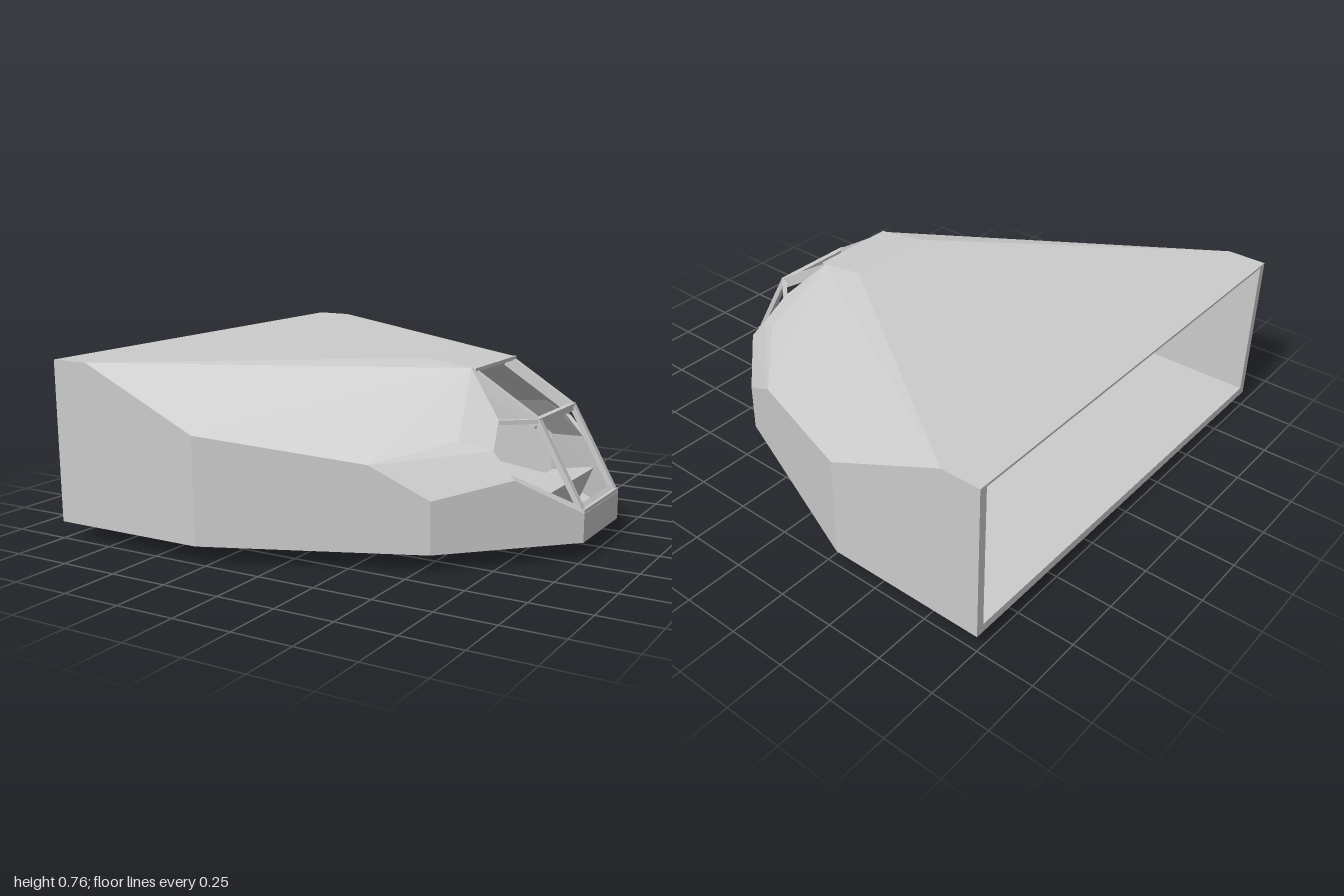
import * as THREE from 'three';

const material = new THREE.MeshStandardMaterial({ color: 0xcccccc, flatShading: true, side: THREE.DoubleSide });

// Flat-faced mesh from polygons of the +z half, mirrored to the -z half
function mirroredPanels(name, polygons) {
  const positions = [];
  for (const poly of polygons) {
    for (let i = 1; i < poly.length - 1; i++) {
      const tri = [poly[0], poly[i], poly[i + 1]];
      for (const p of tri) positions.push(...p);
      for (const p of tri.reverse()) positions.push(...mirror(p));
    }
  }
  const geometry = new THREE.BufferGeometry();
  geometry.setAttribute('position', new THREE.Float32BufferAttribute(positions, 3));
  geometry.computeVertexNormals();
  const mesh = new THREE.Mesh(geometry, material);
  mesh.name = name;
  return mesh;
}

const mid = (p) => [p[0], p[1], 0];
const mirror = (p) => [p[0], p[1], -p[2]];
// Matching point on the inner skin: thick floor and walls, thin roof
const inner = (p) => [-1 + (p[0] + 1) * 0.985, 0.11 + (p[1] - 0.072) * 0.93, p[2] * 0.965];

// Quads closing the wall thickness along an open edge
const wallEdge = (path) =>
  path.slice(1).map((b, i) => [path[i], b, inner(b), inner(path[i])]);

// Frame bar whose outer face runs from a to b
function bar(name, a, b, width, depth) {
  const start = new THREE.Vector3(...a);
  const end = new THREE.Vector3(...b);
  const geometry = new THREE.BoxGeometry(width, depth, start.distanceTo(end));
  geometry.translate(0, -depth / 2, 0);
  const mesh = new THREE.Mesh(geometry, material);
  mesh.position.copy(start).lerp(end, 0.5);
  mesh.lookAt(end);
  mesh.name = name;
  return mesh;
}

export function createModel() {
  const model = new THREE.Group();
  model.name = 'cockpitSection';

  // Hull corners, +z half
  const floorBack = [-1, 0.072, 1], floorSide = [-0.3, 0.072, 1];
  const floorCheek = [0.55, 0.072, 0.645], floorNose = [1, 0.072, 0.2];
  const roofBack = [-1, 0.757, 1], roofSide = [-0.83, 0.757, 1], roofFront = [0.3, 0.757, 0.2];
  const sideRear = [-0.3, 0.515, 1], sideFront = [0.33, 0.42, 0.738], cheek = [0.55, 0.285, 0.645];
  const brow = [0.58, 0.49, 0.472];
  const winTop = [0.5, 0.73, 0.2], winNose = [1, 0.19, 0.2];
  const winUpper = [0.67, 0.55, 0.3], winRear = [0.7, 0.45, 0.41], winLow = [0.79, 0.345, 0.41];

  const skin = [
    [floorBack, floorSide, sideRear, roofSide, roofBack],
    [floorSide, floorCheek, cheek, sideFront, sideRear],
    [floorCheek, floorNose, winNose, winLow, cheek],
    [winTop, roofFront, roofSide, sideRear, sideFront, brow],
    [sideFront, cheek, winLow, winRear, brow],
    [brow, winRear, winUpper, winTop],
    [mid(floorBack), mid(floorNose), floorNose, floorCheek, floorSide, floorBack],
    [mid(roofBack), roofBack, roofSide, roofFront, mid(roofFront)],
    [mid(roofFront), roofFront, winTop, mid(winTop)],
    [mid(floorNose), mid(winNose), winNose, floorNose],
  ];
  model.add(mirroredPanels('outerHull', skin));
  model.add(mirroredPanels('innerHull', skin.map((poly) => poly.map(inner).reverse())));

  // Rim of the open back and jamb of the window opening
  model.add(mirroredPanels('backRim', wallEdge([mid(floorBack), floorBack, roofBack, mid(roofBack)])));
  model.add(mirroredPanels('windowJamb', wallEdge(
    [mid(winTop), winTop, winUpper, winRear, winLow, winNose, mid(winNose)])));

  // Canopy frame
  const canopy = new THREE.Group();
  canopy.name = 'canopyFrame';
  const top = [0.5, 0.73, 0.186], middle = [0.8, 0.545, 0.186], nose = [1, 0.19, 0.186];
  const sideBars = [
    ['roofWindowBar', top, middle, 0.028, 0.045],
    ['windscreenBar', middle, nose, 0.028, 0.022],
    ['sideWindowBar', [0.79, 0.548, 0.19], winUpper, 0.02, 0.018],
  ];
  for (const [name, a, b, width, depth] of sideBars) {
    canopy.add(bar(name, a, b, width, depth), bar(name, mirror(a), mirror(b), width, depth));
  }
  const crossBars = [[0.51, 0.73, 0.02, 0.015], [0.788, 0.55, 0.024, 0.028], [0.988, 0.205, 0.022, 0.02]];
  for (const [x, y, width, depth] of crossBars) {
    canopy.add(bar('crossBar', [x, y, 0.2], [x, y, -0.2], width, depth));
  }
  model.add(canopy);

  // Dashboard with an undercut front
  const profile = new THREE.Shape(
    [[0.8, 0.1], [0.87, 0.265], [0.84, 0.265], [0.68, 0.235], [0.68, 0.1]].map((p) => new THREE.Vector2(...p)));
  const dashboard = new THREE.Mesh(
    new THREE.ExtrudeGeometry(profile, { depth: 0.5, bevelEnabled: false }), material);
  dashboard.position.z = -0.25;
  dashboard.name = 'dashboard';
  model.add(dashboard);

  // Shallow belly plate
  const upper = [[0.23, 0.072, 0], [0.23, 0.072, 0.5], [0.6, 0.072, 0.5], [0.83, 0.072, 0.25], [0.83, 0.072, 0]];
  const lower = [[0.38, 0.054, 0], [0.38, 0.054, 0.3], [0.6, 0.054, 0.3], [0.72, 0.054, 0.18], [0.72, 0.054, 0]];
  const belly = [[...lower].reverse()];
  for (let i = 0; i < 4; i++) belly.push([lower[i], lower[i + 1], upper[i + 1], upper[i]]);
  model.add(mirroredPanels('bellyPlate', belly));

  // Pins under the belly
  for (const [x, z, bottom, radius] of [[0.58, 0.25, 0.012, 0.01], [0.58, -0.25, 0.012, 0.01], [0.79, 0, 0, 0.013]]) {
    const height = 0.072 - bottom;
    const pin = new THREE.Mesh(new THREE.CylinderGeometry(radius, radius, height, 8), material);
    pin.position.set(x, bottom + height / 2, z);
    pin.name = 'bellyPin';
    model.add(pin);
  }
  return model;
}
